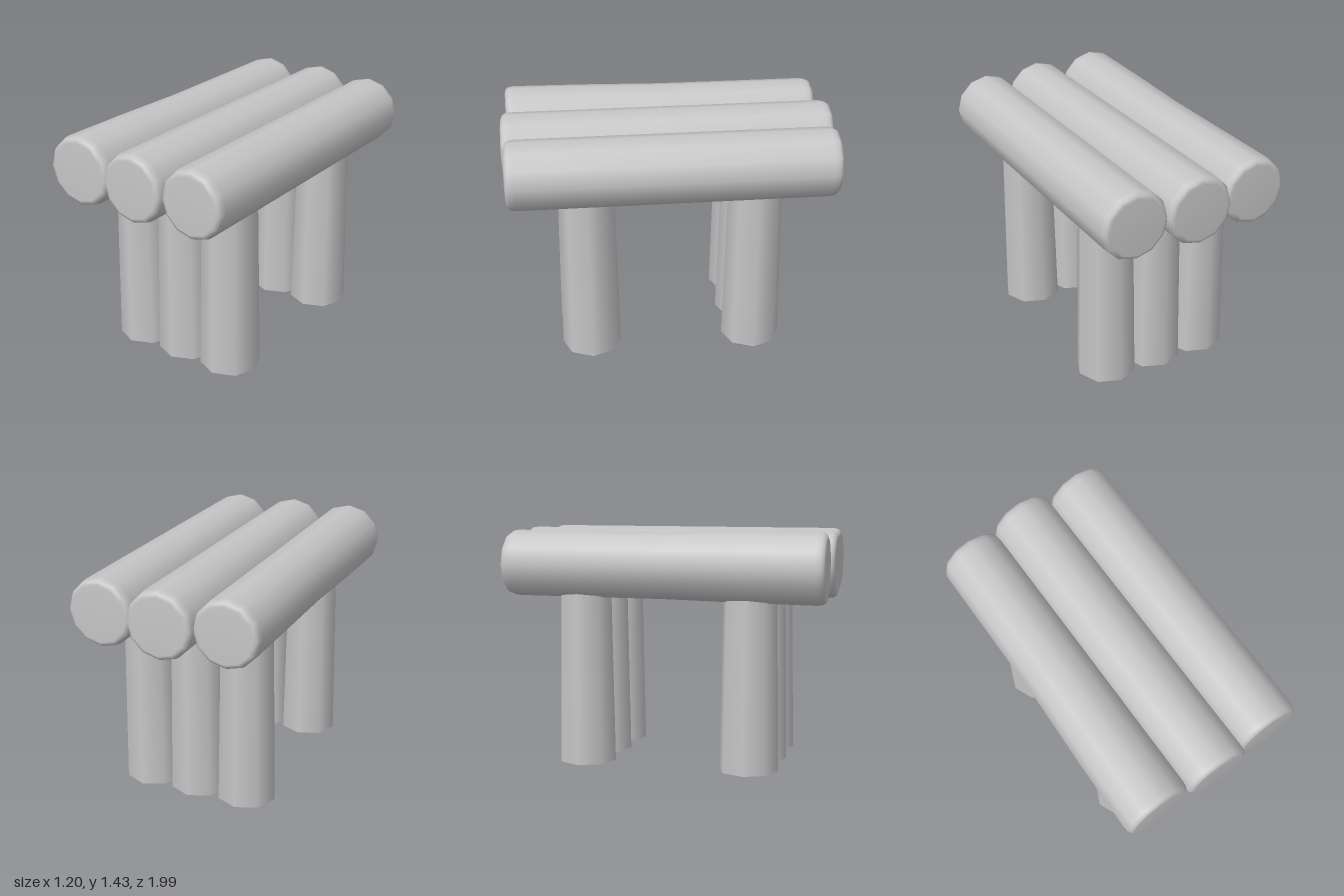
import * as THREE from 'three';

// A twelve-sided log lying along z, with rounded rims and closed ends
function logGeometry(radius, back, front) {
  const rim = [[0.83, 0], [0.93, 0.008], [0.98, 0.025], [1, 0.055]];
  const profile = [new THREE.Vector2(0, back)];
  for (const [r, d] of rim) profile.push(new THREE.Vector2(r * radius, back + d));
  for (const t of [0.25, 0.5, 0.75]) {
    profile.push(new THREE.Vector2(radius, THREE.MathUtils.lerp(back, front, t)));
  }
  for (const [r, d] of [...rim].reverse()) profile.push(new THREE.Vector2(r * radius, front - d));
  profile.push(new THREE.Vector2(0, front));
  return new THREE.LatheGeometry(profile, 12).rotateX(Math.PI / 2);
}

// Swells the log a little towards the front and skews that end
function flareFront(geometry) {
  const p = geometry.attributes.position;
  for (let i = 0; i < p.count; i++) {
    const f = THREE.MathUtils.smoothstep(p.getZ(i), -0.1, 0.85);
    const x = p.getX(i);
    p.setXYZ(i, x * (1 + 0.06 * f) - 0.014 * f, p.getY(i) * (1 + 0.06 * f), p.getZ(i) - 0.04 * x * f);
  }
  return geometry;
}

export function createModel() {
  const model = new THREE.Group();
  model.name = 'logBench';
  const grey = new THREE.MeshStandardMaterial({ color: 0xc6c6c6, side: THREE.DoubleSide });
  grey.name = 'light grey';

  const add = (name, geometry, x, y, z) => {
    const mesh = new THREE.Mesh(geometry, grey);
    mesh.name = name;
    mesh.position.set(x, y, z);
    model.add(mesh);
  };

  // Three logs form the top
  add('rightTopLog', flareFront(logGeometry(0.2, -0.965, 0.975)), -0.375, 1.222, 0);
  add('middleTopLog', logGeometry(0.205, -1, 0.99), 0.008, 1.22, 0);
  add('leftTopLog', logGeometry(0.204, -0.965, 0.96), 0.394, 1.217, 0);

  // Six open, slightly tapered legs in two rows
  const legs = [['right', -0.305, 0.51], ['middle', 0.01, 0.508], ['left', 0.323, 0.502]];
  for (const [side, x, z] of legs) {
    for (const [row, s] of [['Front', 1], ['Back', -1]]) {
      add(`${side}${row}Leg`, new THREE.CylinderGeometry(0.16, 0.182, 1.2, 8, 1, true), x, 0.6, s * z);
    }
  }
  return model;
}
